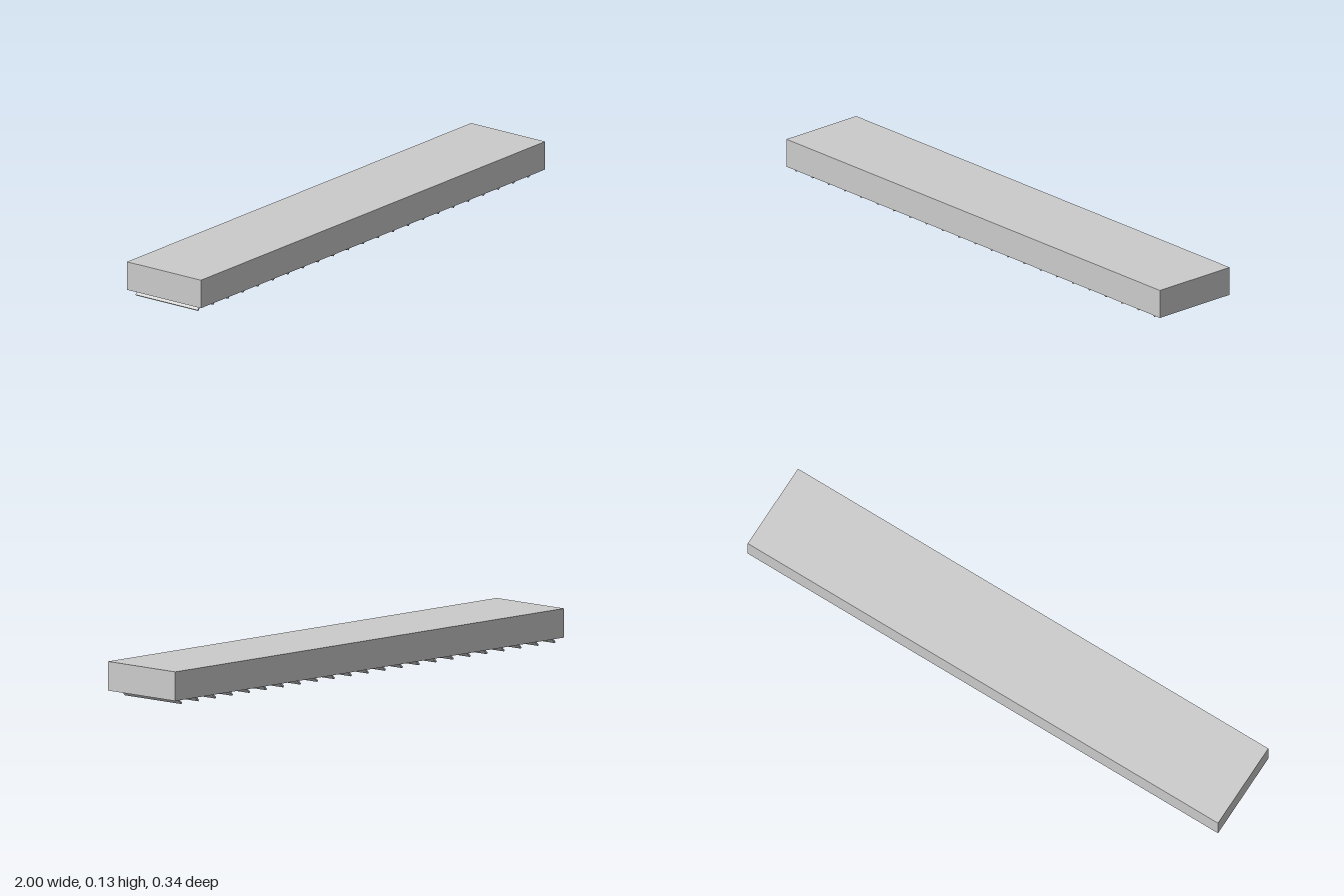
import * as THREE from 'three';

const material = new THREE.MeshStandardMaterial({ color: 0xcccccc, flatShading: true });

function add(parent, name, geometry, x, y, z) {
  const mesh = new THREE.Mesh(geometry, material);
  mesh.name = name;
  mesh.position.set(x, y, z);
  parent.add(mesh);
  return mesh;
}

export function createModel() {
  const model = new THREE.Group();
  model.name = 'louveredBox';

  const halfDepth = 0.169, bottom = 0.021, top = 0.127, wall = 0.015;

  // Housing: a rectangular shell, open underneath
  const rim = new THREE.Shape([
    new THREE.Vector2(-1, -halfDepth), new THREE.Vector2(1, -halfDepth),
    new THREE.Vector2(1, halfDepth), new THREE.Vector2(-1, halfDepth),
  ]);
  const ix = 1 - wall, iz = halfDepth - wall;
  rim.holes.push(new THREE.Path([
    new THREE.Vector2(-ix, -iz), new THREE.Vector2(-ix, iz),
    new THREE.Vector2(ix, iz), new THREE.Vector2(ix, -iz),
  ]));
  const walls = new THREE.ExtrudeGeometry(rim, { depth: top - wall - bottom, bevelEnabled: false });
  walls.rotateX(-Math.PI / 2);
  add(model, 'housingWalls', walls, 0, bottom, 0);
  add(model, 'housingTop', new THREE.BoxGeometry(2, wall, halfDepth * 2), 0, top - wall / 2, 0);

  // Row of slanted slats, each hung from two short pins
  const count = 23, spacing = 0.0873;
  const slatGeometry = new THREE.BoxGeometry(0.062, 0.006, 0.284);
  const pinBottom = 0.042, pinTop = top - wall;
  const pinGeometry = new THREE.CylinderGeometry(0.008, 0.008, pinTop - pinBottom, 12);
  for (let i = 0; i < count; i++) {
    const x = (i - (count - 1) / 2) * spacing;
    const louver = new THREE.Group();
    louver.name = 'louver';
    louver.position.x = x;
    add(louver, 'slat', slatGeometry, 0, 0.024, 0).rotation.z = Math.PI / 4;
    for (const side of [-1, 1]) {
      add(louver, 'hangerPin', pinGeometry, 0.017, (pinBottom + pinTop) / 2, side * 0.085);
    }
    model.add(louver);
  }
  return model;
}
